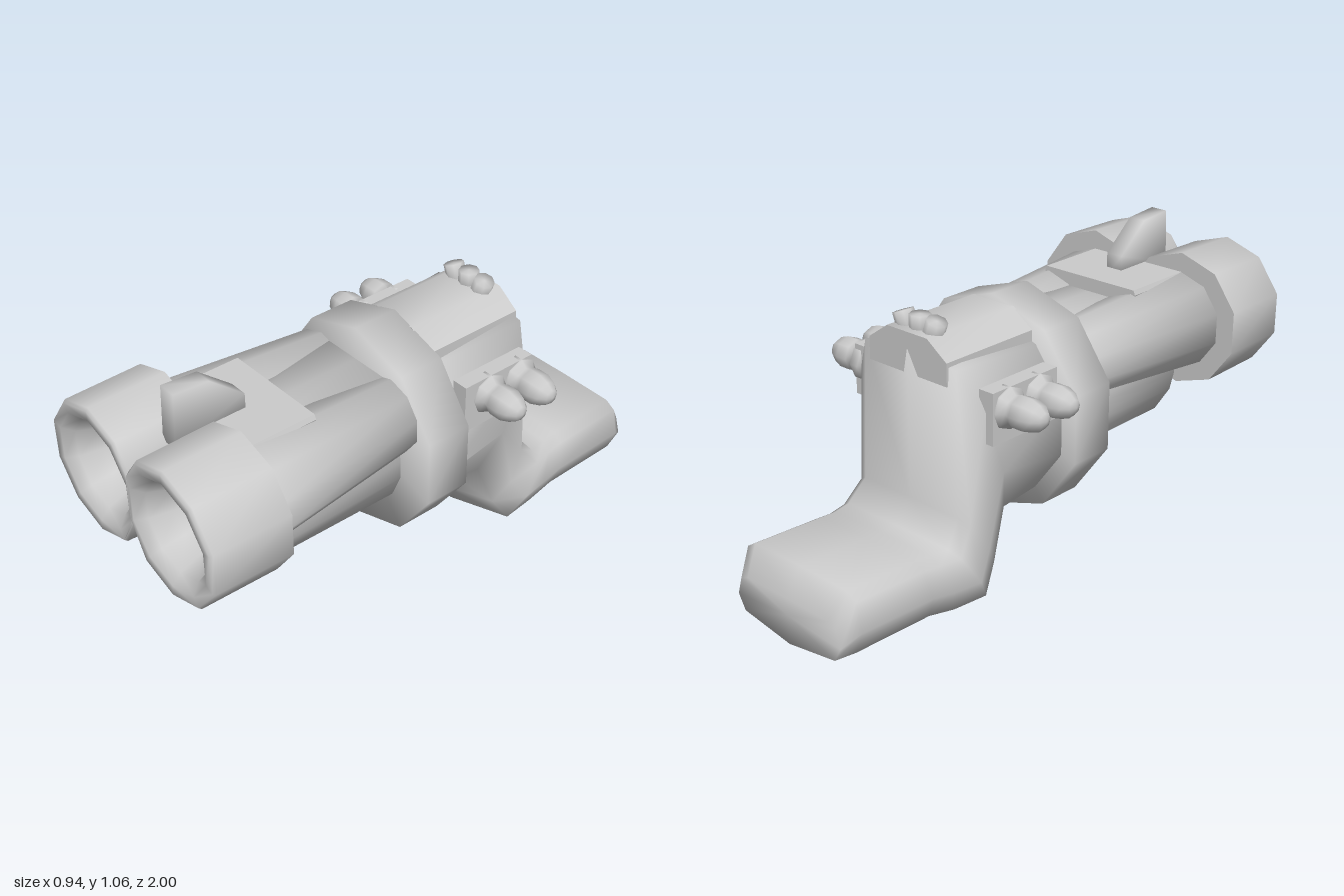
import * as THREE from 'three';
import { toCreasedNormals } from 'three/addons/utils/BufferGeometryUtils.js';

// Half cross-sections as [x share of half width, share of the way from bottom to top]
const ROUND = [[0, 0], [0.62, 0.095], [1, 0.345], [1, 0.655], [0.62, 0.905], [0, 1]];
const BODY = [[0, 0], [0.8, 0.12], [1, 0.38], [1, 0.75], [0.72, 0.96], [0, 1]];
const STOCK = [[0, 0], [0.88, 0.2], [1, 0.52], [0.92, 0.9], [0.78, 0.99], [0, 1]];
const TRAY = [[0, 0], [0.82, 0.15], [1, 0.5], [1, 0.75], [0.95, 1], [0, 1]];

// Soft shading across every edge
const smooth = g => toCreasedNormals(g, 3.1);
const points = list => list.map(p => new THREE.Vector2(...p));

// Closed ring between a bottom point and a top point, each given as [z, y]
function ring(cx, bottom, top, w, half) {
  const at = ([p, a], side) => new THREE.Vector3(
    cx + side * w * p,
    bottom[1] + (top[1] - bottom[1]) * a,
    bottom[0] + (top[0] - bottom[0]) * a);
  return [...half.map(h => at(h, 1)), ...half.slice(1, -1).reverse().map(h => at(h, -1))];
}

// Capped skin over rings that run from front to back
function loft(rings) {
  const pos = [];
  const tri = (...pts) => pts.forEach(p => pos.push(p.x, p.y, p.z));
  const n = rings[0].length;
  for (let i = 0; i < rings.length - 1; i++) {
    for (let j = 0; j < n; j++) {
      const k = (j + 1) % n;
      const a = rings[i][j], b = rings[i][k], c = rings[i + 1][k], d = rings[i + 1][j];
      tri(a, d, c);
      tri(a, c, b);
    }
  }
  const cap = (r, flip) => {
    const mid = r.reduce((s, p) => s.add(p), new THREE.Vector3()).divideScalar(n);
    r.forEach((p, j) => flip ? tri(mid, r[(j + 1) % n], p) : tri(mid, p, r[(j + 1) % n]));
  };
  cap(rings[0], false);
  cap(rings[rings.length - 1], true);
  const g = new THREE.BufferGeometry();
  g.setAttribute('position', new THREE.Float32BufferAttribute(pos, 3));
  return smooth(g);
}

// Ten-sided ring of radius r, upright at z
const round = (cx, cy, z, r) => ring(cx, [z, cy - r], [z, cy + r], r * 0.951, ROUND);

// Lathe and straight extrusion from short profiles
const lathe = (pts, sides) => smooth(new THREE.LatheGeometry(points(pts), sides));
const extrude = (pts, depth) =>
  new THREE.ExtrudeGeometry(new THREE.Shape(points(pts)), { depth, bevelEnabled: false });

// Hollow muzzle with a broad lip, trimmed where it meets its twin at x = 0
function muzzleGeometry(side) {
  const g = new THREE.LatheGeometry(points([
    [0, 0.71], [0.248, 0.71], [0.243, 0.99], [0.235, 1], [0.2, 0.998],
    [0.165, 0.965], [0.135, 0.89], [0.11, 0.79], [0, 0.77],
  ]), 10).rotateX(Math.PI / 2);
  const p = g.attributes.position;
  for (let i = 0; i < p.count; i++) {
    const x = p.getX(i) * side + 0.2, y = p.getY(i);
    const lift = y > 0 ? Math.max(0, -x) * 1.38 : 0;
    p.setX(i, side * Math.max(0, x));
    p.setY(i, 0.715 + y + lift);
  }
  return toCreasedNormals(g, 1.2);
}

export function createModel() {
  const model = new THREE.Group();
  const material = new THREE.MeshStandardMaterial({ color: 0xcccccc });
  const thin = new THREE.MeshStandardMaterial({ color: 0xcccccc, side: THREE.DoubleSide });
  const add = (name, geometry, mat = material) => {
    const m = new THREE.Mesh(geometry, mat);
    m.name = name;
    model.add(m);
    return m;
  };

  // Twin barrels and muzzles
  for (const s of [1, -1]) {
    const label = s > 0 ? 'left' : 'right';
    add(label + 'Muzzle', muzzleGeometry(s), thin);
    add(label + 'Barrel', loft([
      round(s * 0.198, 0.715, 0.73, 0.178), round(s * 0.177, 0.722, 0.08, 0.134)]));
  }
  // Filler web between the barrels
  add('barrelWeb', loft([
    ring(0, [0.72, 0.63], [0.72, 0.84], 0.14, TRAY),
    ring(0, [0.08, 0.64], [0.08, 0.845], 0.15, TRAY)]));

  // Slant-nosed housing under the barrels
  add('underHousing', loft([
    ring(0, [0.6, 0.35], [0.69, 0.575], 0.22, TRAY),
    ring(0, [0.08, 0.345], [0.08, 0.62], 0.23, TRAY)]));

  // Collar
  add('collar', loft([round(0, 0.577, 0.105, 0.388), round(0, 0.577, -0.065, 0.388)]));

  // Body bending down and back into the stock
  add('bodyAndStock', loft([
    ring(0, [-0.05, 0.255], [-0.05, 0.895], 0.31, ROUND),
    ring(0, [-0.23, 0.25], [-0.46, 0.885], 0.285, BODY),
    ring(0, [-0.29, 0.1], [-0.465, 0.36], 0.28, STOCK),
    ring(0, [-0.35, 0.003], [-0.53, 0.28], 0.303, STOCK),
    ring(0, [-0.5, 0.003], [-0.6, 0.28], 0.285, STOCK),
    ring(0, [-0.62, 0.03], [-0.66, 0.285], 0.28, STOCK),
    ring(0, [-0.94, 0.04], [-0.94, 0.3], 0.28, STOCK),
    ring(0, [-1, 0.045], [-1, 0.21], 0.245, STOCK)]));

  // Arched plate on top of the body
  add('topPlate', toCreasedNormals(extrude([
    [-0.175, 0.8], [0.175, 0.8], [0.175, 0.88], [0.09, 0.94], [-0.09, 0.94], [-0.175, 0.88],
  ], 0.4).translate(0, 0, -0.46), 0.8));

  // Fan of flat-topped studs at the back of the top plate
  const studGeometry = lathe([[0, 0], [0.036, 0], [0.036, 0.105], [0, 0.105]], 8);
  for (const i of [-1, 0, 1]) {
    const stud = add('topStud', studGeometry);
    stud.position.set(i * 0.04, 0.88, -0.4);
    stud.rotation.z = -i * 0.36;
  }

  // Side plates with pairs of rounded knobs
  const knob = lathe([[0, 0], [0.072, 0], [0.072, 0.035], [0.05, 0.055], [0.057, 0.075],
    [0.057, 0.12], [0.045, 0.155], [0.025, 0.178], [0, 0.186]], 8);
  for (const s of [1, -1]) {
    const label = s > 0 ? 'left' : 'right';
    add(label + 'SidePlate', new THREE.BoxGeometry(0.06, 0.18, 0.3))
      .position.set(s * 0.285, 0.71, -0.25);
    for (const z of [-0.21, -0.35]) {
      const k = add(label + 'Knob', knob);
      k.position.set(s * 0.286, 0.73, s > 0 ? z : z + 0.025);
      k.rotation.z = -s * Math.PI / 2;
    }
  }

  // Saddle plate bridging the barrels
  add('saddlePlate', extrude([
    [-0.19, 0.82], [0.19, 0.82], [0.207, 0.875], [0.2, 0.892], [-0.2, 0.892], [-0.207, 0.875],
  ], 0.285).translate(0, 0, 0.435));

  // Sight blade
  add('sight', smooth(extrude([
    [-0.84, 0.86], [-0.575, 0.86], [-0.575, 0.945], [-0.7, 1.05], [-0.83, 1.06],
  ], 0.066).translate(0, 0, -0.033).rotateY(Math.PI / 2)));

  return model;
}
